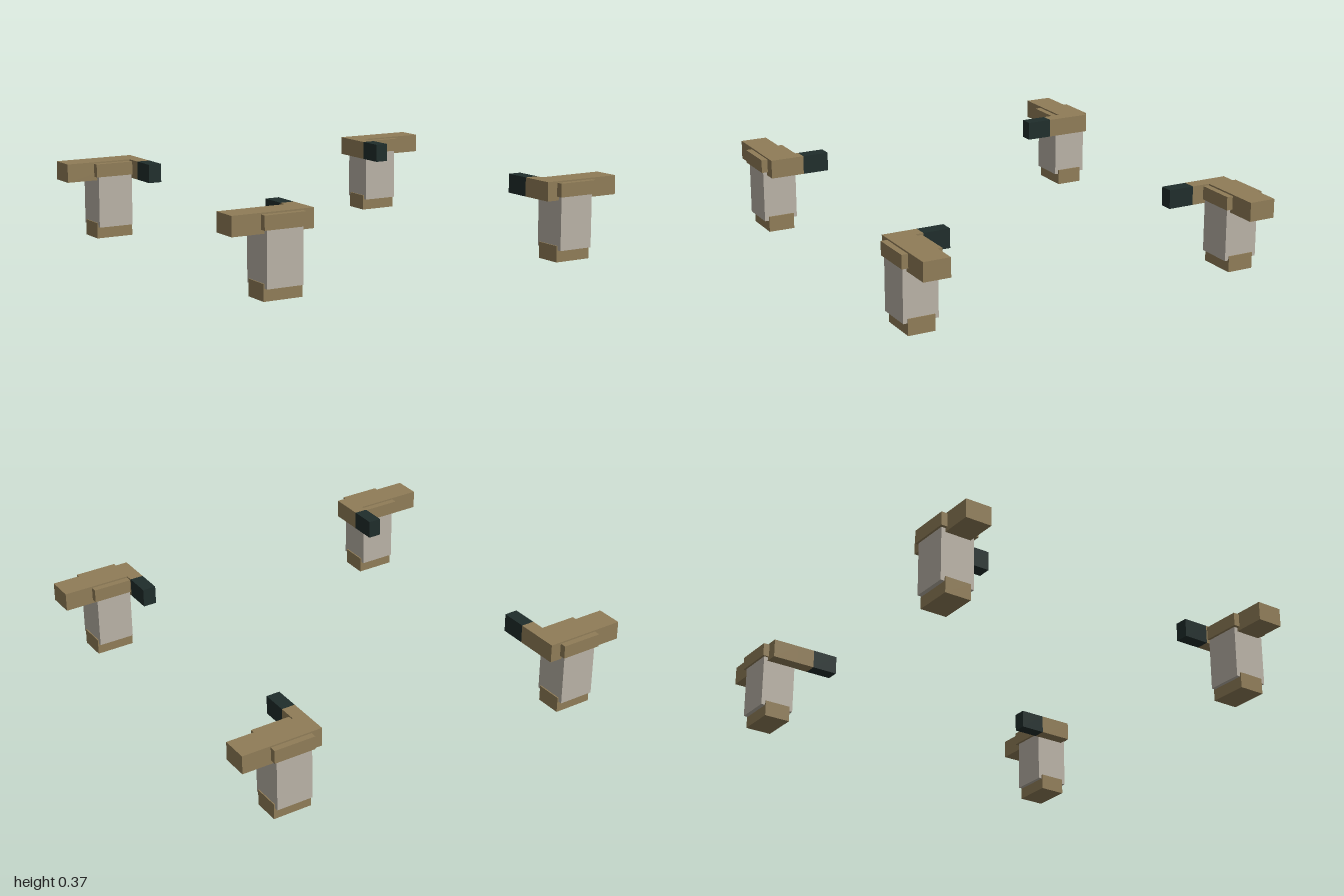
import * as THREE from 'three';

export function createModel() {
  const model = new THREE.Group();
  model.name = 'cornerPosts';
  const wood = new THREE.MeshStandardMaterial({ color: 0x8f7c57 });
  wood.name = 'wood';
  const stone = new THREE.MeshStandardMaterial({ color: 0xb8b1a5 });
  stone.name = 'stone';
  const dark = new THREE.MeshStandardMaterial({ color: 0x1f2d2b });
  dark.name = 'darkEnd';

  // Box given by its limits on each axis, mirrored to a corner by the signs
  function addBox(parent, name, material, sx, sz, [x0, x1], [y0, y1], [z0, z1]) {
    const mesh = new THREE.Mesh(new THREE.BoxGeometry(x1 - x0, y1 - y0, z1 - z0), material);
    mesh.position.set(sx * (x0 + x1) / 2, (y0 + y1) / 2, sz * (z0 + z1) / 2);
    mesh.name = name;
    parent.add(mesh);
  }

  const beamY = [0.284, 0.372];
  const armX = [0.612, 0.676];

  // The inward arm is longer at the back than at the front
  const rows = [
    { name: 'front', sz: 1, armEnd: 0.707, tipEnd: 0.581 },
    { name: 'back', sz: -1, armEnd: 0.656, tipEnd: 0.532 },
  ];
  for (const { name, sz, armEnd, tipEnd } of rows) {
    for (const sx of [1, -1]) {
      const post = new THREE.Group();
      post.name = name + (sx > 0 ? 'LeftPost' : 'RightPost');
      const add = (part, material, x, y, z) => addBox(post, part, material, sx, sz, x, y, z);

      add('foot', wood, [0.668, 0.853], [0, 0.075], [0.743, 0.87]);
      add('pillar', stone, [0.674, 0.848], [0.055, 0.33], [0.725, 0.89]);
      add('cap', wood, [0.664, 0.863], [0.302, 0.365], [0.713, 0.9]);
      add('beam', wood, [0.612, 1], beamY, [0.743, 0.87]);
      add('arm', wood, armX, beamY, [armEnd, 0.743]);
      add('armTip', dark, armX, beamY, [tipEnd, armEnd]);
      model.add(post);
    }
  }
  return model;
}
